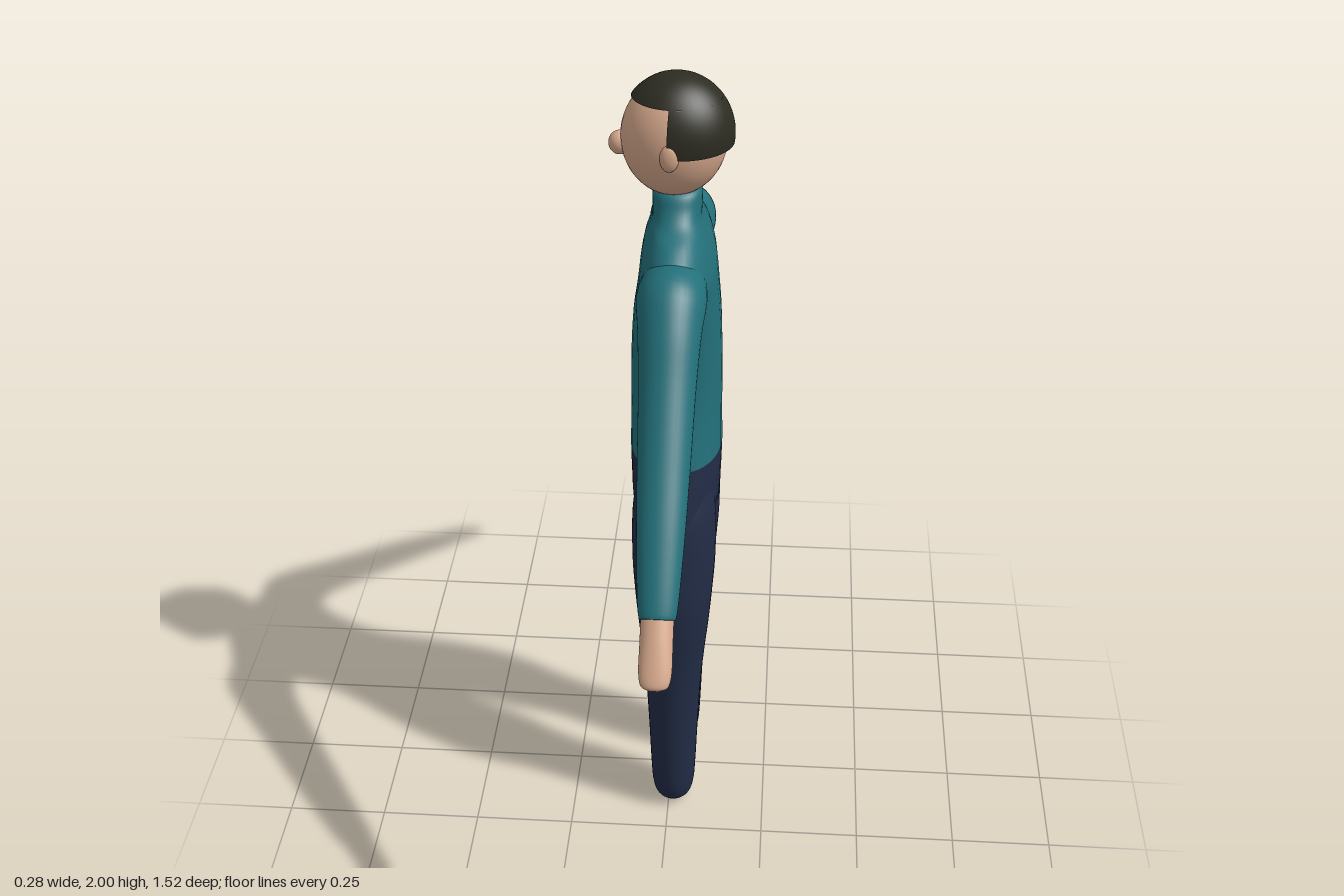
import * as THREE from 'three';

const mat = (name, color) => {
  const m = new THREE.MeshStandardMaterial({ color, side: THREE.DoubleSide });
  m.name = name;
  return m;
};

// Skins a smooth surface over elliptical sections, listed from top to bottom.
// Row: [x, y, z, x radius, cross radius, tilt of the section]; side mirrors in z.
function loft(rows, side = 1, power = 1, segs = 36) {
  const steps = (rows.length - 1) * 5;
  const centres = new THREE.CatmullRomCurve3(
    rows.map(r => new THREE.Vector3(r[0], r[1], r[2] * side)), false, 'catmullrom', 0.5);
  const sizes = new THREE.CatmullRomCurve3(
    rows.map(r => new THREE.Vector3(r[3], r[4], (r[5] || 0) * side)), false, 'catmullrom', 0.5);
  const bulge = v => Math.sign(v) * Math.pow(Math.abs(v), power);
  const pos = [], idx = [];
  for (let i = 0; i <= steps; i++) {
    const c = centres.getPoint(i / steps), s = sizes.getPoint(i / steps);
    for (let j = 0; j < segs; j++) {
      const a = j / segs * Math.PI * 2;
      const w = s.y * bulge(Math.sin(a));
      pos.push(c.x + s.x * bulge(Math.cos(a)), c.y + w * Math.sin(s.z), c.z + w * Math.cos(s.z));
      if (i < steps) {
        const p = i * segs + j, q = i * segs + (j + 1) % segs;
        idx.push(p, q, p + segs, q, q + segs, p + segs);
      }
    }
  }
  // Close the lower end
  const last = steps * segs, end = centres.getPoint(1);
  pos.push(end.x, end.y, end.z);
  if (rows[rows.length - 1][4] < 0.03) {
    for (let j = 0; j < segs; j++) idx.push(last + j, last + (j + 1) % segs, last + segs);
  }
  // Orient triangles outward
  for (let k = 0; k < idx.length; k += 3) [idx[k + 1], idx[k + 2]] = [idx[k + 2], idx[k + 1]];
  const g = new THREE.BufferGeometry();
  g.setAttribute('position', new THREE.Float32BufferAttribute(pos, 3));
  g.setIndex(idx);
  g.computeVertexNormals();
  const n = g.attributes.normal, p = g.attributes.position;
  // Flip everything if the first ring faces inward
  if (n.getX(segs * 2) * (p.getX(segs * 2) - centres.getPoint(2 / steps).x) < 0) {
    g.setIndex(idx.reverse());
    g.computeVertexNormals();
  }
  return g;
}

export function createModel() {
  const group = new THREE.Group();
  group.name = 'standingFigure';
  const skin = mat('skin', 0xd6a88c);
  const hair = mat('hair', 0x2d2c22);
  const shirt = mat('teal shirt', 0x23707a);
  const navy = mat('navy trousers', 0x222c46);

  const add = (name, geometry, material) => {
    const m = new THREE.Mesh(geometry, material);
    m.name = name;
    group.add(m);
    return m;
  };
  const ellipsoid = (name, material, p, r, ...cut) => {
    const m = add(name, new THREE.SphereGeometry(1, 40, 28, ...cut), material);
    m.position.set(...p);
    m.scale.set(...r);
  };

  // Head faces -x
  ellipsoid('head', skin, [0.004, 1.855, 0], [0.118, 0.134, 0.108]);
  ellipsoid('nose', skin, [-0.116, 1.836, 0], [0.025, 0.027, 0.025]);

  // Hair: crown cap, plus a band round the back and sides
  const hairAt = [0.01, 1.865, 0], hairSize = [0.128, 0.135, 0.113];
  const fringe = Math.acos(0.63), nape = Math.acos(-0.148), front = 1.45;
  ellipsoid('hairCrown', hair, hairAt, hairSize, 0, Math.PI * 2, 0, fringe);
  ellipsoid('hairBack', hair, hairAt, hairSize, front, 2 * (Math.PI - front), fringe, nape - fringe);

  // Shirt body with collar and sloping shoulders
  add('shirtBody', loft([
    [0.012, 1.745, 0, 0.035, 0.035],
    [0.012, 1.732, 0, 0.054, 0.058],
    [0.012, 1.70, 0, 0.056, 0.077],
    [0.012, 1.675, 0, 0.056, 0.105],
    [0.012, 1.65, 0, 0.063, 0.16],
    [0.012, 1.61, 0, 0.076, 0.215],
    [0.014, 1.56, 0, 0.086, 0.225],
    [0.014, 1.50, 0, 0.093, 0.19],
    [0.012, 1.42, 0, 0.102, 0.158],
    [0.011, 1.30, 0, 0.107, 0.141],
    [0.011, 1.19, 0, 0.108, 0.144],
    [0.011, 1.07, 0, 0.110, 0.164],
  ], 1, 0.92), shirt);

  // Trouser hips
  add('trouserHips', loft([
    [0.011, 1.07, 0, 0.110, 0.164],
    [0.011, 0.99, 0, 0.108, 0.181],
    [0.011, 0.92, 0, 0.104, 0.192],
    [0.011, 0.885, 0, 0.085, 0.17],
    [0.011, 0.87, 0, 0.03, 0.08],
    [0.011, 0.868, 0, 0.005, 0.01],
  ], 1, 0.92), navy);

  for (const side of [1, -1]) {
    const label = side > 0 ? 'left' : 'right';
    ellipsoid(label + 'Ear', skin, [0, 1.848, side * 0.106], [0.021, 0.031, 0.013]);

    add(label + 'Sleeve', loft([
      [0.012, 1.555, 0.10, 0.070, 0.075, 1.35],
      [0.012, 1.558, 0.20, 0.078, 0.083, 1.05],
      [0.012, 1.512, 0.27, 0.070, 0.070, 0.78],
      [0.012, 1.418, 0.35, 0.063, 0.059, 0.69],
      [0.012, 1.290, 0.456, 0.058, 0.050, 0.68],
      [0.012, 1.165, 0.56, 0.052, 0.042, 0.68],
      [0.012, 1.043, 0.655, 0.042, 0.032, 0.68],
      [0.012, 1.042, 0.656, 0.030, 0.022, 0.68],
    ], side), shirt);

    add(label + 'Hand', loft([
      [0.012, 1.052, 0.648, 0.036, 0.029, 0.68],
      [0.012, 0.995, 0.692, 0.036, 0.027, 0.68],
      [0.012, 0.945, 0.731, 0.036, 0.021, 0.68],
      [0.012, 0.921, 0.750, 0.029, 0.015, 0.68],
      [0.012, 0.914, 0.756, 0.010, 0.006, 0.68],
    ], side), skin);

    // Trouser leg, rounded off at the foot
    add(label + 'TrouserLeg', loft([
      [0.011, 1.02, 0.080, 0.088, 0.080],
      [0.011, 0.92, 0.096, 0.101, 0.096],
      [0.011, 0.80, 0.108, 0.102, 0.100],
      [0.011, 0.70, 0.115, 0.096, 0.101],
      [0.011, 0.60, 0.115, 0.088, 0.095],
      [0.011, 0.50, 0.116, 0.078, 0.083],
      [0.011, 0.40, 0.117, 0.070, 0.076],
      [0.011, 0.25, 0.116, 0.063, 0.076],
      [0.011, 0.12, 0.116, 0.058, 0.073],
      [0.011, 0.05, 0.117, 0.053, 0.064],
      [0.011, 0.015, 0.117, 0.040, 0.045],
      [0.011, 0.0, 0.117, 0.010, 0.012],
    ], side), navy);
  }
  return group;
}
